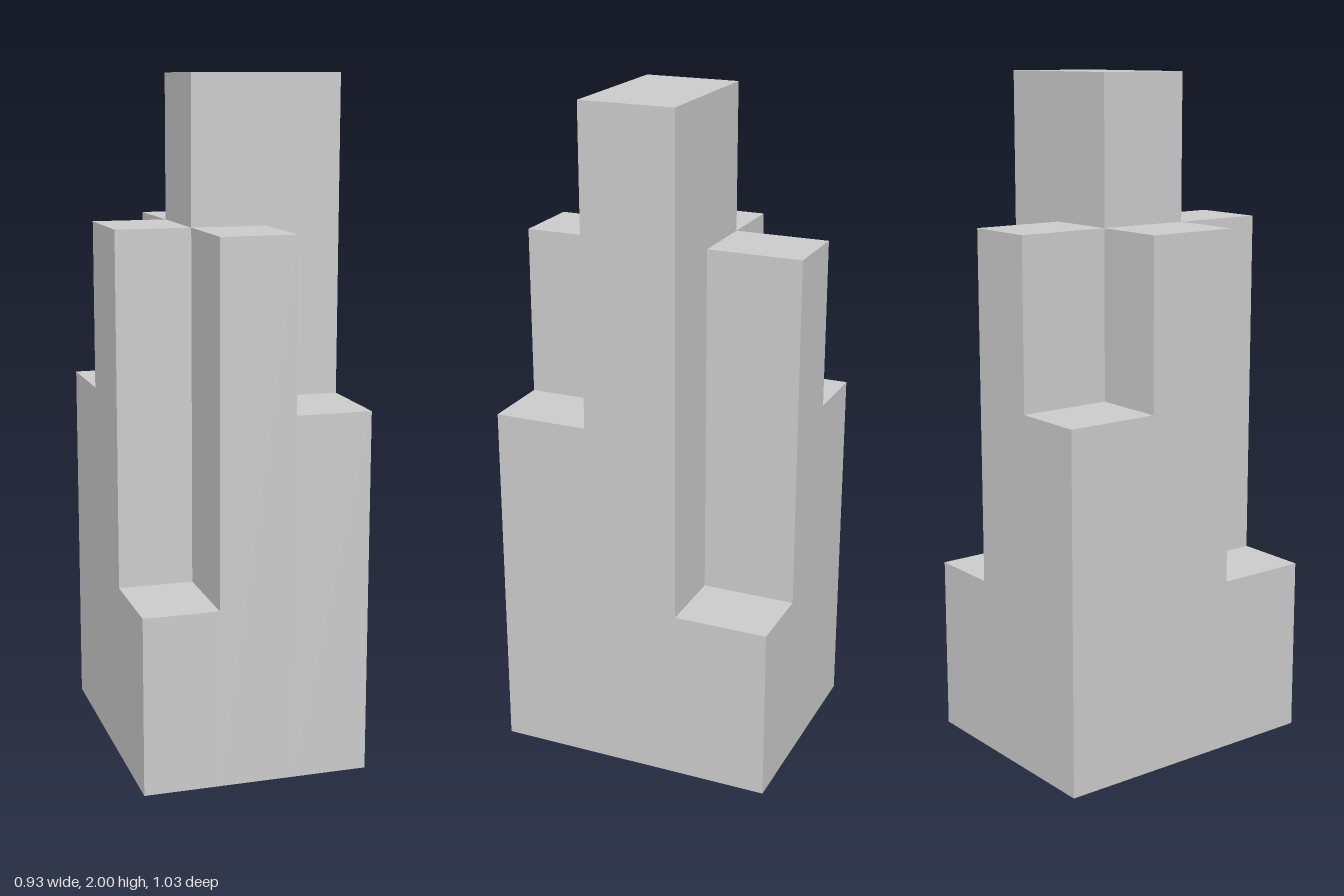
import * as THREE from 'three';

const CELL_X = 0.667 / 3;
const CELL_Z = 0.844 / 3;

// Each tower: name, first column, column span, row (0 = back), height
const TOWERS = [
  ['backRightTower', 0, 1, 0, 1.07],
  ['backTower', 1, 1, 0, 1.57],
  ['backLeftTower', 2, 1, 0, 0.525],
  ['rightTower', 0, 1, 1, 1.57],
  ['mainTower', 1, 2, 1, 2],
  ['frontRightTower', 0, 1, 2, 0.525],
  ['frontTower', 1, 1, 2, 1.57],
  ['frontLeftTower', 2, 1, 2, 1.07],
];

export function createModel() {
  const model = new THREE.Group();
  model.name = 'steppedSkyscraper';
  const material = new THREE.MeshStandardMaterial({ color: 0xcccccc, flatShading: true });

  // Towers of differing height on a 3 x 3 plan
  const block = new THREE.Group();
  block.name = 'towerBlock';
  for (const [name, column, span, row, height] of TOWERS) {
    const geometry = new THREE.BoxGeometry(CELL_X * span, height, CELL_Z);
    const tower = new THREE.Mesh(geometry, material);
    tower.name = name;
    tower.position.set((column + span / 2 - 1.5) * CELL_X, height / 2, (row - 1) * CELL_Z);
    block.add(tower);
  }

  // The whole block stands at an angle
  block.rotation.y = THREE.MathUtils.degToRad(21.55);
  model.add(block);
  return model;
}
